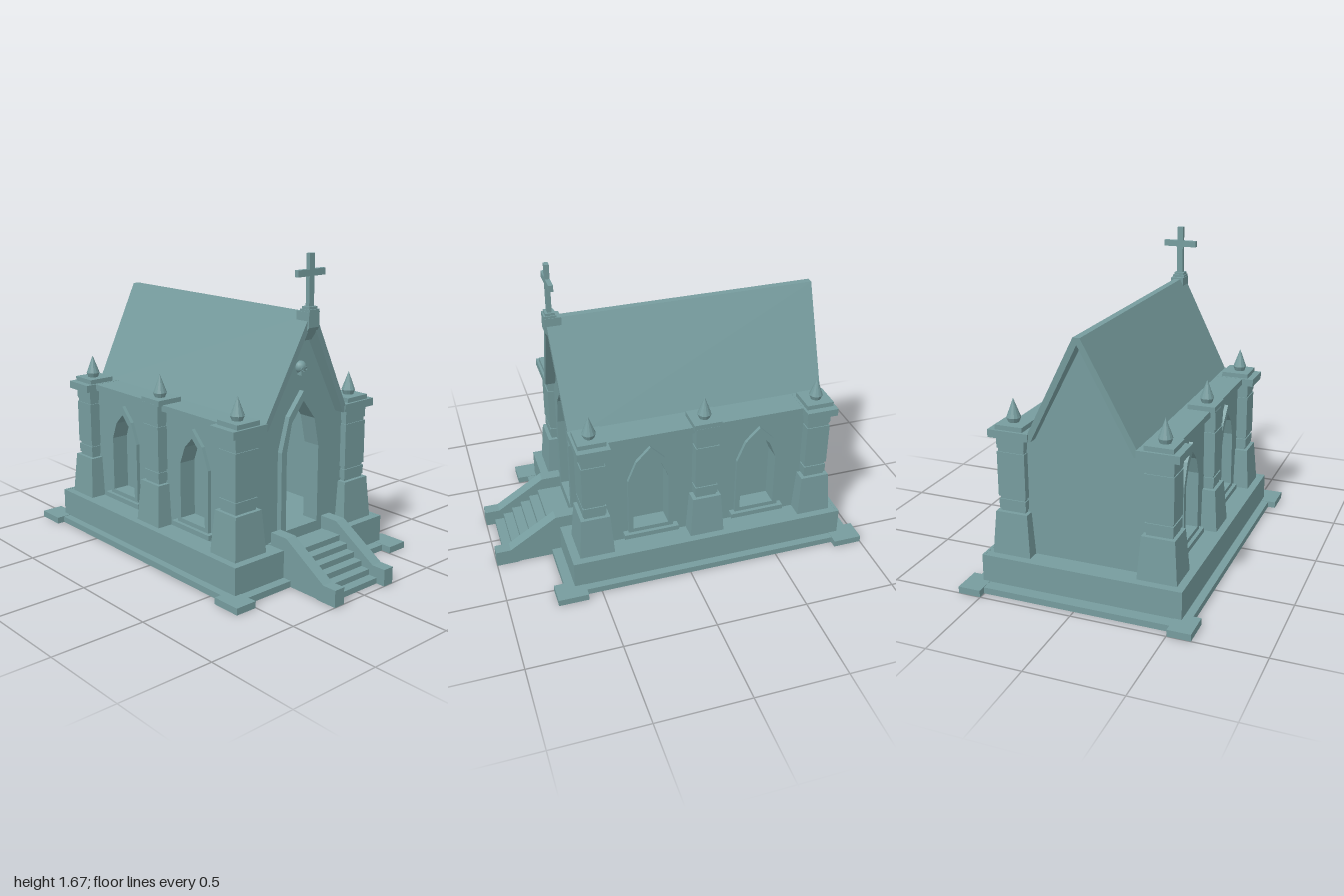
import * as THREE from 'three';

const stone = new THREE.MeshStandardMaterial({ color: 0x769c9e });

function add(parent, name, geometry) {
  const mesh = new THREE.Mesh(geometry, stone);
  mesh.name = name;
  parent.add(mesh);
  return mesh;
}

function group(parent, name) {
  const g = new THREE.Group();
  g.name = name;
  parent.add(g);
  return g;
}

// box given by its limits on each axis
function block(parent, name, x0, x1, y0, y1, z0, z1) {
  const geo = new THREE.BoxGeometry(x1 - x0, y1 - y0, z1 - z0);
  geo.translate((x0 + x1) / 2, (y0 + y1) / 2, (z0 + z1) / 2);
  return add(parent, name, geo);
}

// box whose top is narrowed by a factor
function taperedBox(w, h, d, k) {
  const geo = new THREE.BoxGeometry(w, h, d);
  const p = geo.attributes.position;
  for (let i = 0; i < p.count; i++) {
    if (p.getY(i) > 0) p.setXYZ(i, p.getX(i) * k, p.getY(i), p.getZ(i) * k);
  }
  geo.computeVertexNormals();
  return geo;
}

// separate faces so that each one is shaded flat
function faceted(geometry) {
  const geo = geometry.toNonIndexed();
  geo.computeVertexNormals();
  return geo;
}

const outline = (pts, Kind = THREE.Shape) => new Kind(pts.map(([x, y]) => new THREE.Vector2(x, y)));

function extrude(pts, depth, holes = []) {
  const shape = outline(pts);
  shape.holes = holes.map((h) => outline(h, THREE.Path));
  return new THREE.ExtrudeGeometry(shape, { depth, bevelEnabled: false });
}

// extrusion of a (z, y) profile, centred across x
function extrudeAcross(pts, width) {
  const geo = extrude(pts.map(([z, y]) => [-z, y]), width);
  geo.translate(0, 0, -width / 2);
  geo.rotateY(Math.PI / 2);
  return geo;
}

const rect = (x0, x1, y0, y1) => [[x0, y0], [x1, y0], [x1, y1], [x0, y1]];

// pointed arch: half width, bottom, spring line, shoulder, apex
const arch = (w, bottom, spring, shoulderX, shoulderY, apex, cx = 0) => [
  [cx - w, bottom], [cx + w, bottom], [cx + w, spring], [cx + shoulderX, shoulderY],
  [cx, apex], [cx - shoulderX, shoulderY], [cx - w, spring],
];

function buildPillar(parent, s, z, corner) {
  const g = group(parent, 'pillar');
  g.position.set(s * 0.394, 0, z);
  add(g, 'pillarBase', taperedBox(0.21, 0.23, 0.19, 0.83)).position.y = 0.295;
  // stacked sections of the shaft: bottom, top, half depth
  const sections = [
    [0.41, 0.425, 0.057], [0.425, 0.475, 0.063], [0.475, 0.49, 0.057],
    [0.49, 0.73, 0.065], [0.73, 0.75, 0.06], [0.75, 0.85, 0.065],
  ];
  for (const [y0, y1, h] of sections) block(g, 'pillarShaft', -h - 0.011, h + 0.011, y0, y1, -h, h);
  if (corner) block(g, 'pillarCornice', -0.111, 0.111, 0.81, 0.851, -0.088, 0.088);
  block(g, 'pillarCap', -0.075, 0.075, 0.845, 0.876, -0.075, 0.075);
  const spike = [[0, 0.87], [0.026, 0.87], [0.037, 0.9], [0, 1.0]].map(([r, y]) => new THREE.Vector2(r, y));
  add(g, 'finial', faceted(new THREE.LatheGeometry(spike, 12))).position.x = s * 0.007;
}

function buildSide(parent, s) {
  // local x runs along the wall, local z points outwards
  const side = group(parent, 'sideWall');
  side.rotation.y = (s * Math.PI) / 2;
  const centres = [0.18, -0.43].map((z) => -s * z);
  const ends = [-s * 0.52, s * 0.77].sort((a, b) => a - b);
  const opening = (c) => arch(0.098, 0.255, 0.56, 0.06, 0.655, 0.715, c);
  add(side, 'wall', extrude(rect(ends[0], ends[1], 0.17, 0.82), 0.08, centres.map(opening))).position.z = 0.33;
  for (const c of centres) {
    const frame = extrude(arch(0.125, 0.225, 0.57, 0.078, 0.685, 0.765, c), 0.04, [opening(c)]);
    add(side, 'windowFrame', frame).position.z = 0.39;
    block(side, 'windowSill', c - 0.152, c + 0.152, 0.205, 0.232, 0.39, 0.45);
    block(side, 'windowPanel', c - 0.12, c + 0.12, 0.235, 0.74, 0.32, 0.335);
  }
}

function buildStairs(parent) {
  const stairs = group(parent, 'stairs');
  for (let i = 0; i < 6; i++) {
    block(stairs, 'step', -0.152, 0.152, i * 0.031, (i + 1) * 0.031, 0.6, 0.95 - i * 0.052);
  }
  const rail = [[1, 0], [1, 0.09], [0.92, 0.09], [0.66, 0.255], [0.55, 0.255], [0.55, 0.185], [0.64, 0.185], [0.88, 0]];
  const stringer = [[0.89, 0], [0.64, 0.187], [0.36, 0.187], [0.36, 0]];
  for (const s of [-1, 1]) {
    add(stairs, 'stairRail', extrudeAcross(rail, 0.064)).position.x = s * 0.183;
    add(stairs, 'stairStringer', extrudeAcross(stringer, 0.052)).position.x = s * 0.183;
  }
}

function buildRoof(parent) {
  // steep chevron whose ends lean outwards towards the ridge
  const pts = [
    [-0.308, 0.81], [-0.272, 0.81], [0, 1.337], [0.272, 0.81],
    [0.308, 0.81], [0.018, 1.372], [-0.018, 1.372],
  ];
  const geo = extrude(pts, 1.41);
  geo.translate(0, 0, -0.831);
  const p = geo.attributes.position;
  for (let i = 0; i < p.count; i++) {
    const z = p.getZ(i);
    p.setZ(i, z + (Math.sign(z) * 0.03 * (p.getY(i) - 0.81)) / 0.56);
  }
  geo.computeVertexNormals();
  add(parent, 'roof', geo);
}

function buildCross(parent) {
  const cross = group(parent, 'gableCross');
  const corbel = [[0.53, 1.38], [0.618, 1.38], [0.618, 1.302], [0.565, 1.23], [0.53, 1.23]];
  add(cross, 'corbel', extrudeAcross(corbel, 0.074));
  block(cross, 'crossFoot', -0.034, 0.034, 1.375, 1.392, 0.552, 0.618);
  block(cross, 'crossFootTop', -0.028, 0.028, 1.392, 1.405, 0.56, 0.61);
  block(cross, 'crossPost', -0.017, 0.017, 1.4, 1.667, 0.573, 0.597);
  block(cross, 'crossArm', -0.095, 0.095, 1.555, 1.589, 0.573, 0.597);
}

function buildSkull(parent) {
  const skull = group(parent, 'skull');
  skull.position.set(0, 1.088, 0.525);
  add(skull, 'cranium', new THREE.SphereGeometry(0.033, 14, 10));
  block(skull, 'jaw', -0.018, 0.018, -0.04, -0.012, -0.01, 0.027);
  for (const s of [-1, 1]) {
    add(skull, 'eyeSocket', new THREE.TorusGeometry(0.009, 0.003, 6, 10)).position.set(s * 0.013, -0.007, 0.029);
  }
  add(skull, 'nose', new THREE.ConeGeometry(0.005, 0.01, 4)).position.set(0, -0.018, 0.028);
}

export function createModel() {
  const model = new THREE.Group();
  model.name = 'mausoleum';

  // hollow stepped base with corner pads
  const ring = (name, x, z0, z1, y0, y1) => {
    const geo = extrude(rect(-x, x, -z1, -z0), y1 - y0, [rect(-0.525, 0.525, -0.622, 0.876)]);
    geo.rotateX(-Math.PI / 2);
    add(model, name, geo).position.y = y0;
  };
  ring('groundSlab', 0.582, -0.958, 0.69, 0, 0.034);
  ring('plinth', 0.54, -0.892, 0.638, 0.03, 0.182);
  block(model, 'plinthTop', -0.53, 0.53, 0.165, 0.181, -0.88, 0.63);
  block(model, 'chamberFloor', -0.34, 0.34, 0.175, 0.238, -0.75, 0.47);
  for (const s of [-1, 1]) {
    const [a, b] = s > 0 ? [0.502, 0.624] : [-0.624, -0.502];
    block(model, 'cornerPad', a, b, 0, 0.036, -1, -0.842);
    block(model, 'cornerPad', a, b, 0, 0.036, 0.582, 0.745);
  }
  buildStairs(model);

  // gabled end walls, the front one with the doorway
  const gable = [[-0.4, 0.17], [0.4, 0.17], [0.4, 0.82], [0.28, 0.82], [0, 1.35], [-0.28, 0.82], [-0.4, 0.82]];
  const doorway = arch(0.115, 0.238, 0.655, 0.082, 0.81, 0.915);
  add(model, 'frontWall', extrude(gable, 0.07, [doorway])).position.z = 0.455;
  add(model, 'backWall', extrude(gable, 0.06)).position.z = -0.78;
  const frame = extrude(arch(0.15, 0.18, 0.665, 0.1, 0.845, 0.967), 0.06, [doorway]);
  add(model, 'doorFrame', frame).position.z = 0.495;

  // side walls, cornices and pillars
  for (const s of [-1, 1]) {
    buildSide(model, s);
    const [a, b] = s > 0 ? [0.285, 0.442] : [-0.442, -0.285];
    block(model, 'cornice', a, b, 0.815, 0.85, -0.83, 0.575);
    for (const z of [0.497, -0.12, -0.752]) buildPillar(model, s, z, z !== -0.12);
  }

  buildRoof(model);
  buildCross(model);
  buildSkull(model);
  return model;
}
